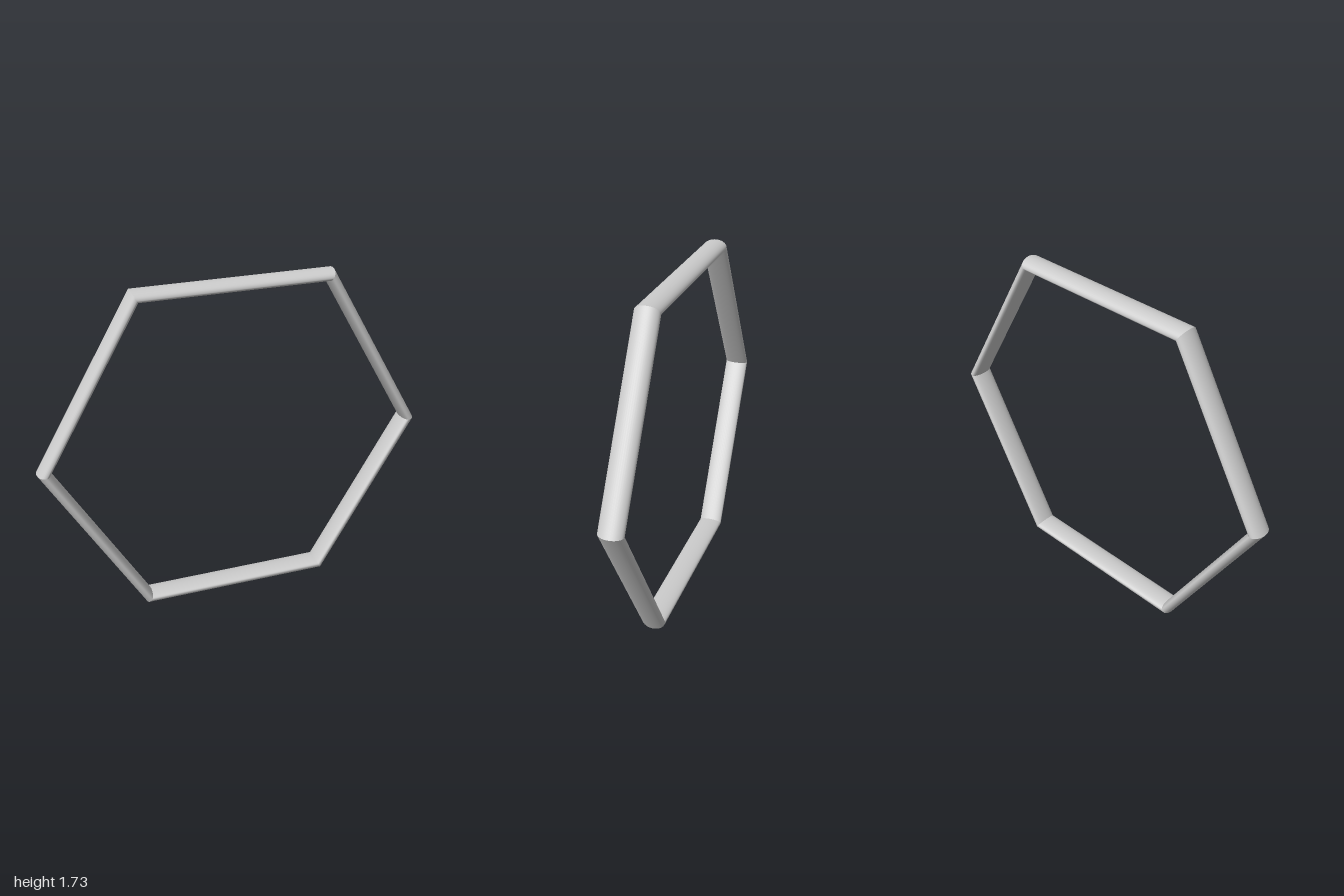
import * as THREE from 'three';

const SIDES = 6;
const APOTHEM = Math.sqrt(3) / 2; // centre to the outermost line of a bar
const OUTER = 0.036, INNER = 0.022; // bulge of the bar outward and inward
const HALF_DEPTH = 0.062;
const STEPS = 40;

// One straight bar with an oval section, its ends mitred to meet its neighbours
function mitredBar() {
  const positions = [], index = [];
  const slope = Math.tan(Math.PI / SIDES);
  for (let i = 0; i < STEPS; i++) {
    const a = (i / STEPS) * Math.PI * 2;
    const c = Math.cos(a);
    const y = APOTHEM - OUTER + c * (c > 0 ? OUTER : INNER);
    const z = Math.sin(a) * HALF_DEPTH;
    positions.push(-y * slope, y, z, y * slope, y, z);
    const p = i * 2, q = ((i + 1) % STEPS) * 2;
    index.push(p, q, p + 1, q, q + 1, p + 1);
  }
  const geometry = new THREE.BufferGeometry();
  geometry.setAttribute('position', new THREE.Float32BufferAttribute(positions, 3));
  geometry.setIndex(index);
  geometry.computeVertexNormals();
  return geometry;
}

export function createModel() {
  const model = new THREE.Group();
  model.name = 'hexagonalRing';
  const material = new THREE.MeshStandardMaterial({ color: 0xcccccc });
  const geometry = mitredBar();

  // Six bars turned about the centre of the ring
  for (let i = 0; i < SIDES; i++) {
    const bar = new THREE.Mesh(geometry, material);
    bar.name = `ringBar${i + 1}`;
    bar.rotation.z = (i / SIDES) * Math.PI * 2;
    bar.position.y = APOTHEM;
    model.add(bar);
  }
  return model;
}
